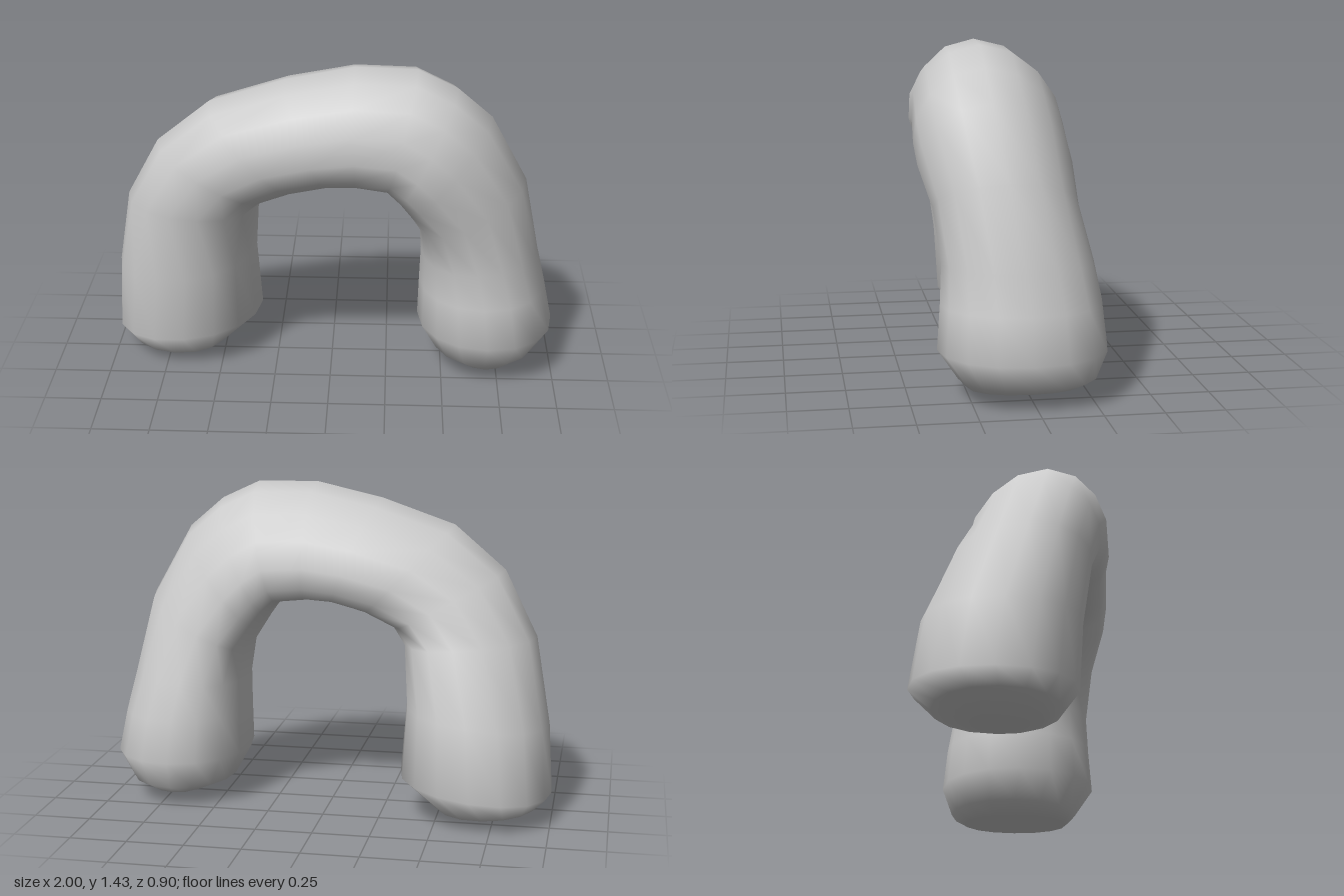
import * as THREE from 'three';

// Cross-sections along the arch:
// outer x, y, inner x, y, front z, back z, shift of the widest point to the inside
const SECTIONS = [
  [-0.80, 0.01, -0.57, 0.01, 0.07, -0.20, 0],
  [-0.94, 0.06, -0.49, 0.04, 0.16, -0.36, 0],
  [-1.00, 0.12, -0.33, 0.19, 0.23, -0.455, 0],
  [-0.98, 0.42, -0.35, 0.50, 0.25, -0.41, 0.03],
  [-0.91, 0.79, -0.33, 0.76, 0.30, -0.29, 0.08],
  [-0.76, 1.07, -0.28, 0.82, 0.35, -0.22, 0.12],
  [-0.53, 1.26, -0.15, 0.88, 0.40, -0.22, 0.14],
  [-0.20, 1.37, -0.01, 0.92, 0.43, -0.22, 0.16],
  [0.10, 1.435, 0.11, 0.925, 0.435, -0.20, 0.17],
  [0.37, 1.43, 0.24, 0.91, 0.45, -0.20, 0.17],
  [0.54, 1.35, 0.29, 0.86, 0.455, -0.20, 0.17],
  [0.69, 1.22, 0.33, 0.80, 0.445, -0.21, 0.16],
  [0.85, 0.92, 0.39, 0.69, 0.39, -0.22, 0.10],
  [0.92, 0.57, 0.40, 0.55, 0.36, -0.275, 0.03],
  [0.96, 0.40, 0.395, 0.40, 0.37, -0.305, 0],
  [1.00, 0.21, 0.39, 0.22, 0.385, -0.325, 0],
  [0.93, 0.09, 0.46, 0.09, 0.30, -0.28, 0],
  [0.84, 0.05, 0.56, 0.05, 0.26, -0.22, 0],
];
const SIDES = 16;

// Slightly squared ellipse
const soften = (v) => Math.sign(v) * Math.abs(v) ** 0.94;

function loftArch() {
  const positions = [], indices = [];
  for (const [ox, oy, ix, iy, front, back, shift] of SECTIONS) {
    for (let j = 0; j < SIDES; j++) {
      const a = (j / SIDES) * Math.PI * 2;
      const w = soften(Math.sin(a)) / 2;
      const u = soften(Math.cos(a)) / 2 - shift * 4 * w * w;
      positions.push(
        (ox + ix) / 2 + (ox - ix) * u,
        (oy + iy) / 2 + (oy - iy) * u,
        (front + back) / 2 + (front - back) * w + shift * u * 0.4,
      );
    }
  }
  // Skin between neighbouring sections
  for (let i = 0; i < SECTIONS.length - 1; i++) {
    for (let j = 0; j < SIDES; j++) {
      const k = (j + 1) % SIDES;
      const a = i * SIDES + j, b = i * SIDES + k;
      indices.push(a, b, a + SIDES, b, b + SIDES, a + SIDES);
    }
  }
  // Close the soles of both legs with fans
  const last = (SECTIONS.length - 1) * SIDES;
  for (const [start, flip] of [[0, true], [last, false]]) {
    const [ox, oy, ix, iy, front, back] = SECTIONS[start / SIDES];
    const centre = positions.length / 3;
    positions.push((ox + ix) / 2, (oy + iy) / 2 - (flip ? 0.01 : 0), (front + back) / 2);
    for (let j = 0; j < SIDES; j++) {
      const a = start + j, b = start + ((j + 1) % SIDES);
      if (flip) indices.push(centre, b, a);
      else indices.push(centre, a, b);
    }
  }
  const geometry = new THREE.BufferGeometry();
  geometry.setAttribute('position', new THREE.Float32BufferAttribute(positions, 3));
  geometry.setIndex(indices);
  geometry.computeVertexNormals();
  return geometry;
}

export function createModel() {
  const group = new THREE.Group();
  const arch = new THREE.Mesh(loftArch(), new THREE.MeshStandardMaterial({ color: 0xcccccc }));
  arch.name = 'bentArch';
  group.add(arch);
  return group;
}
